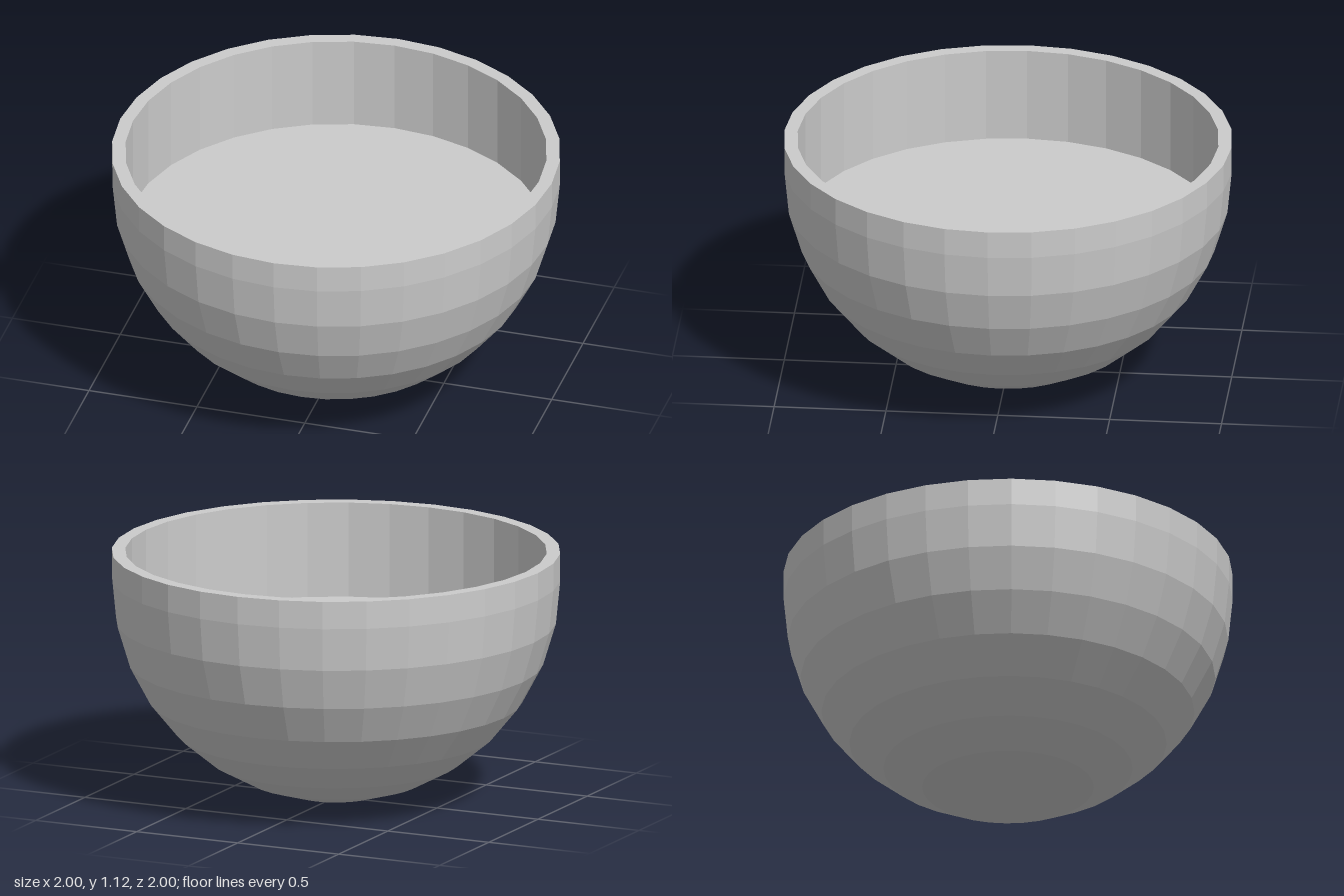
import * as THREE from 'three';

export function createModel() {
  const group = new THREE.Group();
  group.name = 'bowl';
  const sides = 32;
  const rimY = 1.125, floorY = 0.695, innerRadius = 0.94;
  const material = new THREE.MeshStandardMaterial({ color: 0xcccccc, flatShading: true });

  function addLathe(name, points) {
    const mesh = new THREE.Mesh(new THREE.LatheGeometry(points, sides), material);
    mesh.name = name;
    group.add(mesh);
  }

  // Outer shell: half sphere with a short straight collar
  const shell = [];
  for (let i = 0; i <= 8; i++) {
    const a = (i / 8) * Math.PI / 2;
    shell.push(new THREE.Vector2(Math.sin(a), 1 - Math.cos(a)));
  }
  shell.push(new THREE.Vector2(1, rimY));
  addLathe('outerShell', shell);

  // Flat rim on top
  addLathe('rim', [new THREE.Vector2(1, rimY), new THREE.Vector2(innerRadius, rimY)]);

  // Straight inner wall
  addLathe('innerWall', [new THREE.Vector2(innerRadius, rimY), new THREE.Vector2(innerRadius, floorY)]);

  // Flat inner floor
  addLathe('innerFloor', [new THREE.Vector2(innerRadius, floorY), new THREE.Vector2(0, floorY)]);

  return group;
}
